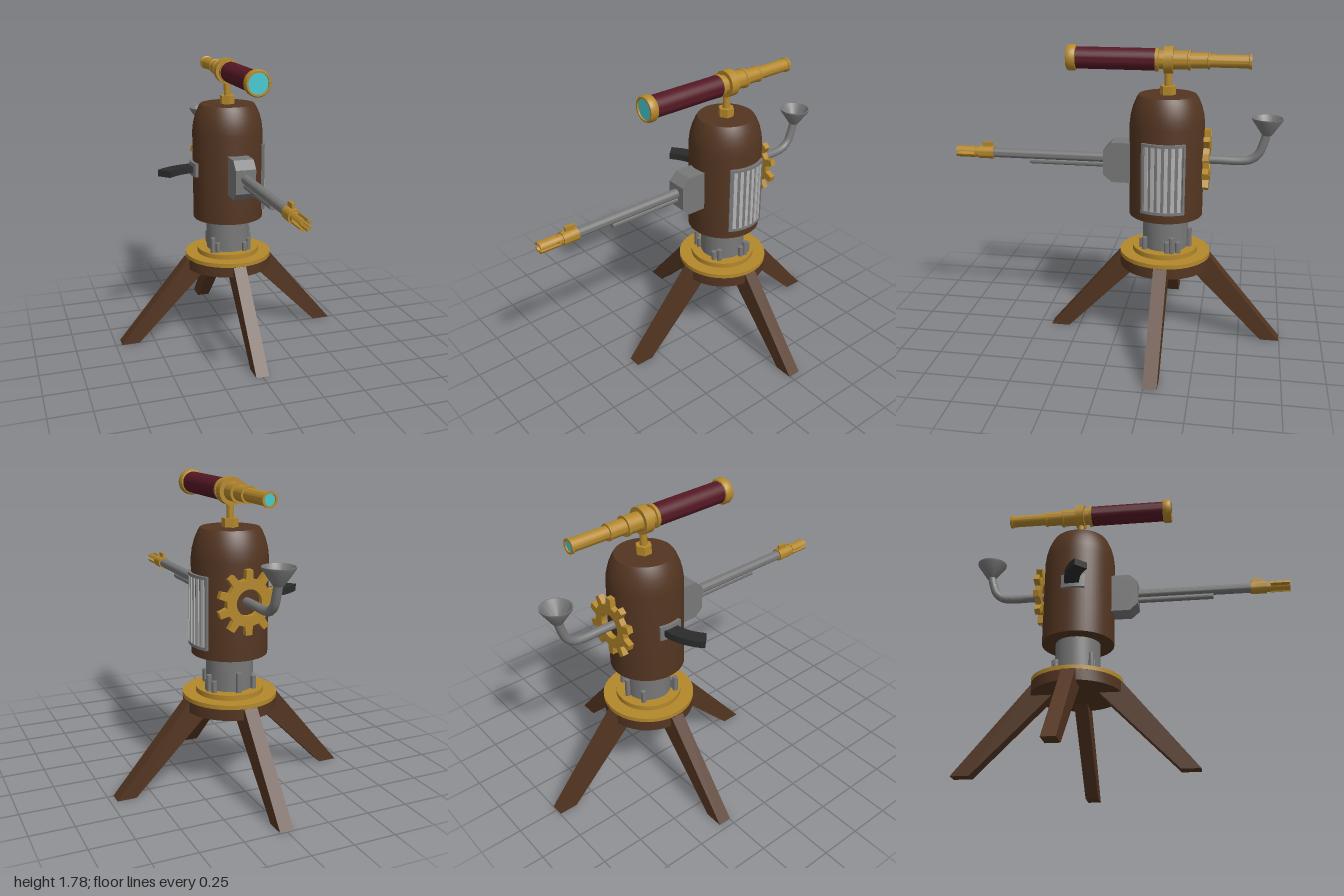
import * as THREE from 'three';
import { toCreasedNormals } from 'three/addons/utils/BufferGeometryUtils.js';

const CX = 0.005, CZ = -0.285; // vertical axis of the turret
const mat = (color, side = THREE.FrontSide) => new THREE.MeshStandardMaterial({ color, side });
const WOOD = mat(0x533521), GOLD = mat(0xb4882c), STEEL = mat(0x787878), HORN = mat(0x787878, THREE.DoubleSide);
const RIB = mat(0xb4b4b4), BLACK = mat(0x2b2b2b), MAROON = mat(0x551824), GLASS = mat(0x45c8d0);

export function createModel() {
  const root = new THREE.Group();
  const add = (name, geo, material, x = 0, y = 0, z = 0, parent = root) => {
    const m = new THREE.Mesh(toCreasedNormals(geo, 0.6), material);
    m.name = name;
    m.position.set(x, y, z);
    parent.add(m);
    return m;
  };
  const group = (name) => {
    const g = new THREE.Group();
    g.name = name;
    root.add(g);
    return g;
  };
  // profile of [radius, height] pairs, from bottom to top
  const lathe = (pts, seg = 40) => new THREE.LatheGeometry(pts.map(([r, y]) => new THREE.Vector2(r, y)), seg);
  const disc = (r, y0, y1, seg = 40) => lathe([[0, y0], [r, y0], [r, y1], [0, y1]], seg);
  const alongZ = (geo) => geo.rotateX(Math.PI / 2);
  const extrude = (shape, depth) => new THREE.ExtrudeGeometry(shape, { depth, bevelEnabled: false, curveSegments: 16 });
  const poly = (pts) => new THREE.Shape(pts.map(([x, y]) => new THREE.Vector2(x, y)));
  // slice of a ring, extruded along z, or standing upright along y
  const ringSlice = (ri, ro, a0, a1, depth) => {
    const s = new THREE.Shape();
    s.absarc(0, 0, ro, a0, a1, false);
    s.absarc(0, 0, ri, a1, a0, true);
    s.closePath();
    return extrude(s, depth);
  };
  const upright = (geo) => geo.rotateX(-Math.PI / 2);

  // Stand: four splayed legs, wooden disc and two brass rings
  const stand = group('stand');
  const legShape = poly([[0.6, 0], [0.712, 0], [0.272, 0.53], [0.1, 0.53], [0.1, 0.505]]);
  for (let i = 0; i < 4; i++) {
    const leg = add('leg', extrude(legShape, 0.08).translate(0, 0, -0.04), WOOD, 0, 0, CZ, stand);
    leg.rotation.y = i * Math.PI / 2;
  }
  add('platform', disc(0.27, 0.465, 0.53), WOOD, CX, 0, CZ, stand);
  add('lowerRing', disc(0.272, 0.53, 0.555), GOLD, CX, 0, CZ, stand);
  add('upperRing', disc(0.195, 0.555, 0.585), GOLD, CX, 0, CZ, stand);

  // Neck with small posts around it: [x, z, top] relative to the axis
  const neck = group('neck');
  add('neckColumn', disc(0.135, 0.58, 0.8), STEEL, CX, 0, CZ, neck);
  const posts = [[-0.128, 0.105, 0.68], [-0.097, 0.11, 0.645], [0.072, 0.13, 0.64], [0.103, 0.112, 0.66],
    [0.152, -0.055, 0.68], [0.148, -0.025, 0.65], [0.135, -0.09, 0.65], [0.01, -0.145, 0.7], [-0.1, -0.11, 0.66]];
  for (const [x, z, top] of posts) add('post', disc(0.016, 0.58, top, 12), STEEL, CX + x, 0, CZ + z, neck);

  // Domed wooden body
  add('body', lathe([[0, 0.79], [0.218, 0.79], [0.218, 1.34], [0.212, 1.39], [0.199, 1.44],
    [0.18, 1.485], [0.167, 1.505], [0, 1.505]], 48), WOOD, CX + 0.002, 0, CZ);

  // Curved ribbed grille on the left flank
  const grille = group('grille');
  const half = 0.54;
  add('grillePlate', upright(ringSlice(0.205, 0.226, -half, half, 0.415)), STEEL, CX, 0.845, CZ, grille);
  for (const y of [0.845, 1.243])
    add('grilleRail', upright(ringSlice(0.205, 0.236, -half, half, 0.017)), STEEL, CX, y, CZ, grille);
  for (const s of [-1, 1])
    add('grilleSide', upright(ringSlice(0.205, 0.236, s * half - 0.03, s * half + 0.03, 0.415)), STEEL, CX, 0.845, CZ, grille);
  for (let i = 0; i < 6; i++) {
    const a = (i - 2.5) * 0.17;
    add('grilleRib', upright(ringSlice(0.21, 0.234, a - 0.045, a + 0.045, 0.385)), RIB, CX, 0.86, CZ, grille);
  }

  // Curved magazine on the right flank
  const magazine = group('magazine');
  add('magazineBracket', upright(ringSlice(0.2, 0.236, Math.PI - 0.31, Math.PI + 0.31, 0.085)), STEEL, CX, 1.07, CZ, magazine);
  add('magazineBox', upright(ringSlice(0.27, 0.358, Math.PI / 2, Math.PI * 0.745, 0.04)), BLACK, -0.2, 1.092, 0.024, magazine);

  // Gun: chamfered mount, barrel, lower tube and slotted brass muzzle
  const gun = group('gun');
  const mountShape = poly([[0.12, 0.98], [-0.035, 0.98], [-0.085, 1.025], [-0.085, 1.17], [-0.035, 1.22], [0.12, 1.22]]);
  add('gunMount', extrude(mountShape, 0.125).translate(0, 0, -0.0625).rotateY(Math.PI / 2), STEEL, 0.007, 0, 0, gun);
  const BY = 1.113;
  add('barrel', alongZ(disc(0.029, 0.05, 0.88, 24)), STEEL, 0.007, BY, 0, gun);
  add('lowerTube', alongZ(disc(0.018, 0.05, 0.54, 16)), STEEL, 0.007, 1.073, 0, gun);
  add('muzzleCollar', alongZ(lathe([[0.028, 0.765], [0.038, 0.765], [0.038, 0.86], [0.02, 0.86]], 24)), GOLD, 0.007, BY, 0, gun);
  add('sight', new THREE.BoxGeometry(0.016, 0.05, 0.06), GOLD, 0.007, 1.152, 0.805, gun);
  add('muzzleCore', alongZ(disc(0.03, 0.855, 0.885, 24)), GOLD, 0.007, BY, 0, gun);
  for (let i = 0; i < 4; i++) {
    const a = i * Math.PI / 2 + Math.PI / 4;
    add('muzzleProng', ringSlice(0.021, 0.034, a - 0.5, a + 0.5, 0.12), GOLD, 0.007, BY, 0.88, gun);
  }

  // Gear on the back
  const gear = group('gear');
  const TEETH = 10, gearPts = [];
  for (let i = 0; i < TEETH; i++) {
    for (const [da, r] of [[-0.17, 0.132], [-0.105, 0.182], [0.105, 0.182], [0.17, 0.132]]) {
      const a = (i + 0.5) / TEETH * Math.PI * 2 + da;
      gearPts.push([r * Math.cos(a), r * Math.sin(a)]);
    }
  }
  const gearShape = poly(gearPts);
  gearShape.holes.push(new THREE.Path().absarc(0, 0, 0.075, 0, Math.PI * 2, true));
  add('gearWheel', extrude(gearShape, 0.035), GOLD, 0.007, 1.128, -0.538, gear);

  // Speaking horn: bent pipe and open cone
  const horn = group('horn');
  const path = new THREE.CatmullRomCurve3([[1.128, -0.46], [1.128, -0.6], [1.128, -0.72], [1.14, -0.775],
    [1.175, -0.815], [1.23, -0.838], [1.3, -0.856]].map(([y, z]) => new THREE.Vector3(0.007, y, z)));
  add('hornPipe', new THREE.TubeGeometry(path, 40, 0.025, 16), STEEL, 0, 0, 0, horn);
  add('hornBell', lathe([[0, 1.287], [0.028, 1.287], [0.088, 1.375], [0.09, 1.387], [0.084, 1.387], [0.03, 1.3], [0, 1.3]]),
    HORN, 0.007, 0, -0.857, horn);

  // Telescope on a hexagonal foot
  const scope = group('telescope');
  const SX = 0.007, SY = 1.702;
  add('scopeFoot', disc(0.047, 1.5, 1.555, 6), GOLD, SX, 0, CZ, scope);
  add('scopePost', disc(0.021, 1.55, 1.65, 20), GOLD, SX, 0, CZ, scope);
  add('scopeClamp', alongZ(disc(0.077, -0.315, -0.262)), GOLD, SX, SY, 0, scope);
  add('scopeBarrel', alongZ(disc(0.063, -0.215, 0.255)), MAROON, SX, SY, 0, scope);
  add('frontRim', alongZ(lathe([[0.06, 0.245], [0.07, 0.248], [0.076, 0.26], [0.076, 0.288], [0.07, 0.3],
    [0.06, 0.3], [0.06, 0.285]])), GOLD, SX, SY, 0, scope);
  add('frontLens', alongZ(disc(0.062, 0.25, 0.29)), GLASS, SX, SY, 0, scope);
  add('drawTubes', alongZ(lathe([[0.031, -0.735], [0.031, -0.752], [0.043, -0.752], [0.043, -0.738], [0.037, -0.735],
    [0.037, -0.52], [0.048, -0.52], [0.048, -0.51], [0.044, -0.507], [0.044, -0.412], [0.058, -0.412], [0.058, -0.398],
    [0.053, -0.395], [0.053, -0.232], [0.067, -0.23], [0.067, -0.212], [0.06, -0.212]])), GOLD, SX, SY, 0, scope);
  add('eyepieceLens', alongZ(disc(0.033, -0.744, -0.73)), GLASS, SX, SY, 0, scope);

  return root;
}
